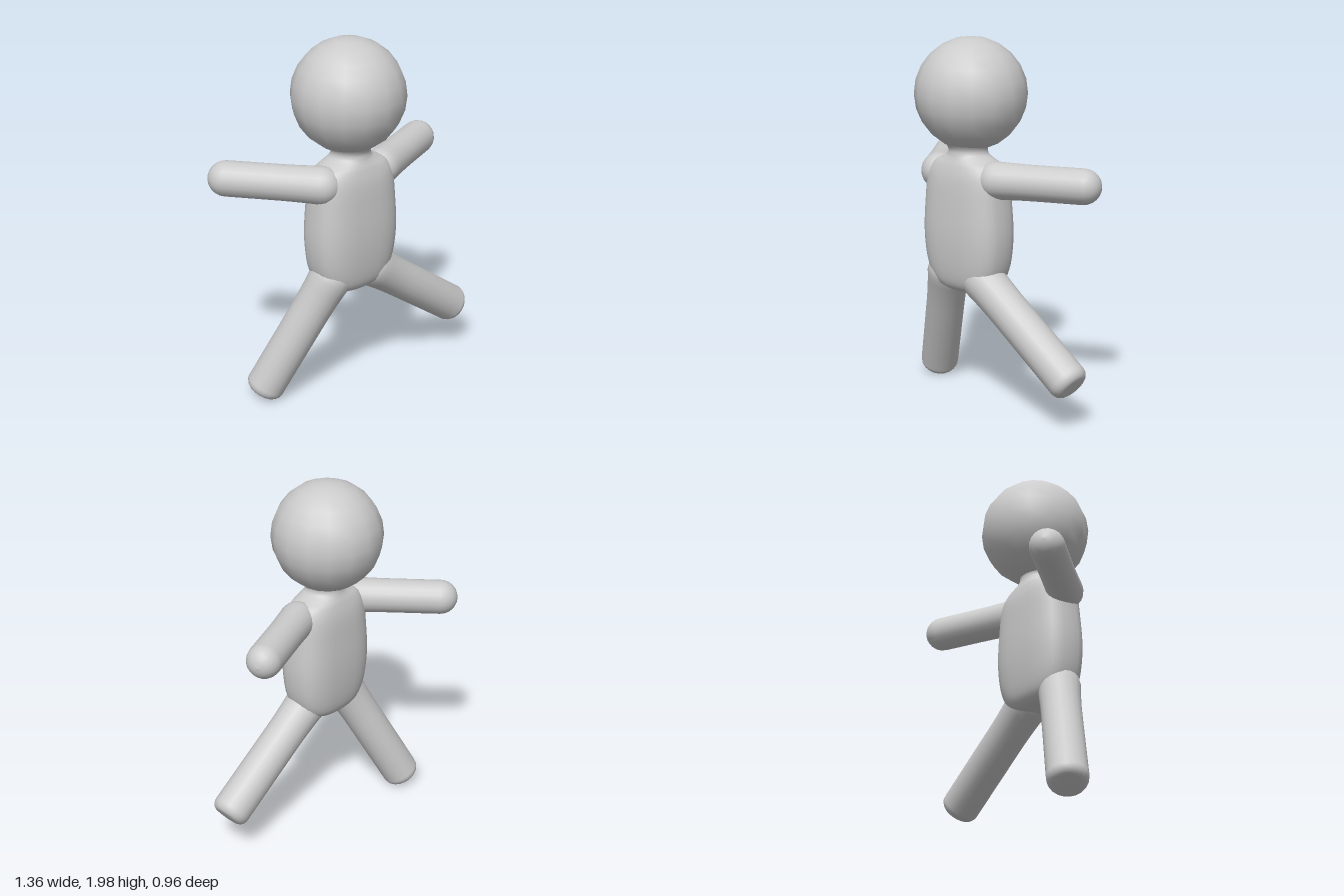
import * as THREE from 'three';

const material = new THREE.MeshStandardMaterial({ color: 0xcccccc });
const V = (x, y, z) => new THREE.Vector3(x, y, z);

function addMesh(parent, name, geometry) {
  const mesh = new THREE.Mesh(geometry, material);
  mesh.name = name;
  parent.add(mesh);
  return mesh;
}

// Round limb from root to tip: slightly flared root, domed tip (flat 0) or flat-bottomed tip
function addLimb(parent, name, root, tip, radius, flare, bevel, flat) {
  const length = root.distanceTo(tip);
  const wide = radius + flare;
  const pts = [];
  for (let i = 0; i <= 5; i++) {
    const a = (i / 5) * Math.PI / 2;
    pts.push(new THREE.Vector2(wide * Math.sin(a), -wide * Math.cos(a)));
  }
  for (let i = 1; i <= 5; i++) {
    const t = i / 5;
    pts.push(new THREE.Vector2(radius + flare * (1 - t) ** 2, 0.25 * t));
  }
  for (let i = 0; i <= 6; i++) {
    const a = (i / 6) * Math.PI / 2;
    pts.push(new THREE.Vector2(flat + (radius - flat) * Math.cos(a), length - bevel + bevel * Math.sin(a)));
  }
  if (flat > 0) pts.push(new THREE.Vector2(0, length + 0.004));
  const mesh = addMesh(parent, name, new THREE.LatheGeometry(pts, 20));
  mesh.position.copy(root);
  mesh.quaternion.setFromUnitVectors(V(0, 1, 0), tip.clone().sub(root).normalize());
}

// Soft box-like torso narrowing into the neck; key points are (half width, height, half depth)
function torsoGeometry() {
  const keys = [
    [0.004, 0.635, 0.004], [0.1, 0.642, 0.08], [0.19, 0.68, 0.122], [0.238, 0.76, 0.143],
    [0.264, 0.93, 0.157], [0.255, 1.13, 0.152], [0.24, 1.26, 0.142], [0.21, 1.33, 0.125],
    [0.15, 1.362, 0.113], [0.112, 1.385, 0.106], [0.105, 1.41, 0.104], [0.12, 1.44, 0.12], [0.16, 1.475, 0.16],
  ].map((k) => V(...k));
  const curve = new THREE.CatmullRomCurve3(keys, false, 'centripetal');
  const rows = 48, segs = 32, pos = [], index = [];
  for (let i = 0; i <= rows; i++) {
    const p = curve.getPoint(i / rows);
    // squarish section on the body, round at the neck
    const n = THREE.MathUtils.lerp(2.8, 2, THREE.MathUtils.smoothstep(p.y, 1.28, 1.4));
    for (let j = 0; j < segs; j++) {
      const t = (j / segs) * Math.PI * 2, c = Math.cos(t), s = Math.sin(t);
      pos.push(
        p.x * Math.sign(c) * Math.abs(c) ** (2 / n), p.y,
        p.z * Math.sign(s) * Math.abs(s) ** (2 / n));
      if (i === rows) continue;
      const a = i * segs + j, b = i * segs + (j + 1) % segs;
      index.push(a, a + segs, b, b, a + segs, b + segs);
    }
  }
  const g = new THREE.BufferGeometry();
  g.setAttribute('position', new THREE.Float32BufferAttribute(pos, 3));
  g.setIndex(index);
  g.computeVertexNormals();
  return g;
}

export function createModel() {
  const model = new THREE.Group();
  model.name = 'figure';

  // Body turned diagonally
  const torso = addMesh(model, 'torsoAndNeck', torsoGeometry());
  torso.position.set(0.053, 0, 0.197);
  torso.rotation.y = Math.PI / 4;

  // Coarse round head
  const head = addMesh(model, 'head', new THREE.SphereGeometry(0.3, 16, 12));
  head.position.set(0.04, 1.7, 0.18);

  // Arms reach out level, with domed hands
  addLimb(model, 'rightArm', V(-0.08, 1.265, 0.35), V(-0.68, 1.265, 0.285), 0.094, 0.006, 0.094, 0);
  addLimb(model, 'leftArm', V(0.205, 1.265, 0.055), V(0.415, 1.265, -0.475), 0.094, 0.006, 0.094, 0);

  // Legs: one planted, one kicked back, with flat rounded feet
  addLimb(model, 'rightLeg', V(-0.045, 0.72, 0.305), V(-0.415, 0.05, 0.367), 0.106, 0.01, 0.05, 0.062);
  addLimb(model, 'leftLeg', V(0.16, 0.715, 0.12), V(0.61, 0.265, -0.325), 0.106, 0.01, 0.05, 0.062);

  return model;
}
